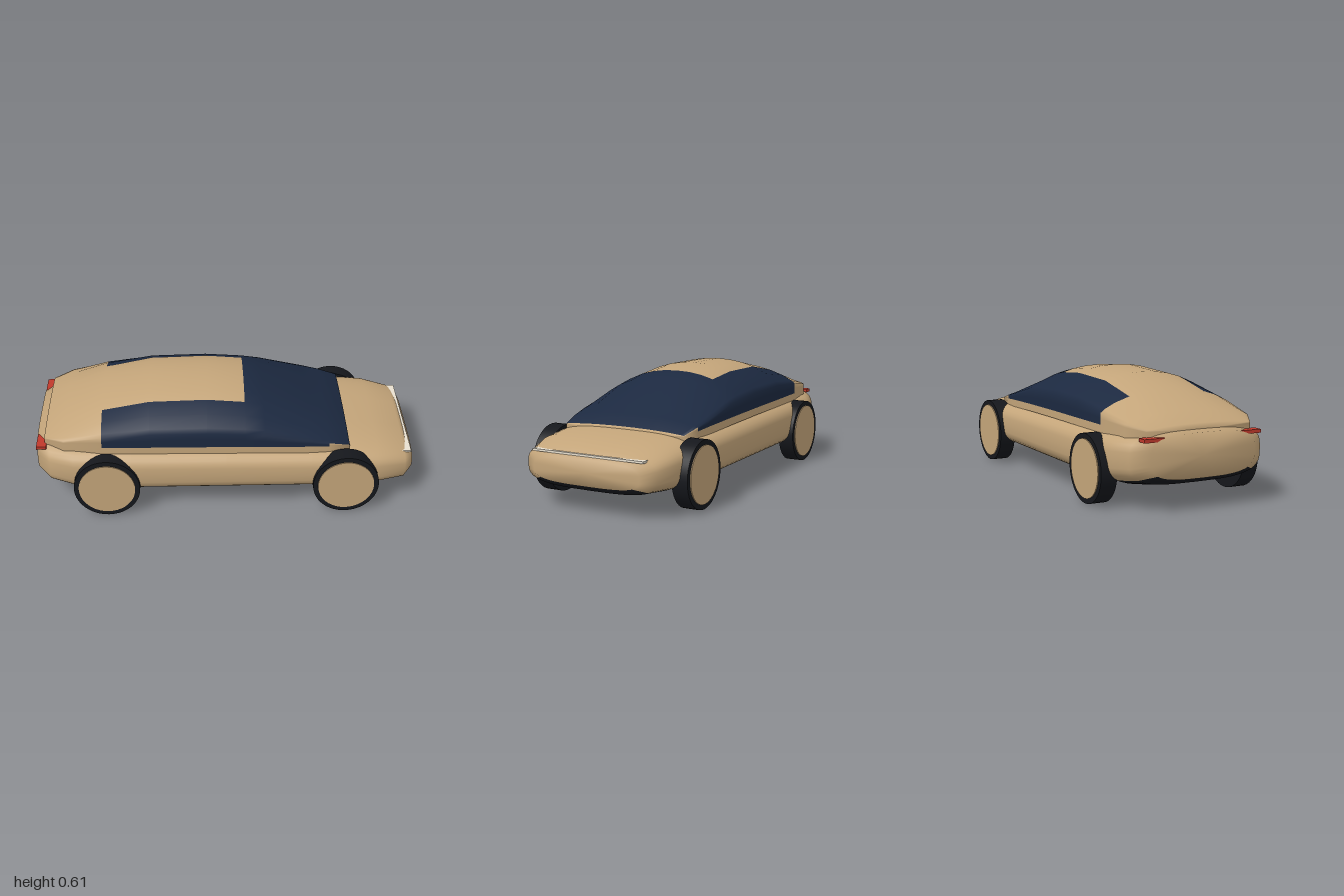
import * as THREE from 'three';

const paint = (color) => new THREE.MeshStandardMaterial({ color, side: THREE.DoubleSide, roughness: 0.7 });
const TAN = paint(0xc4a57a), GLASS = paint(0x1c2940), DARK = paint(0x15171c);
const RED = paint(0xc0392b), LIGHT = paint(0xe8e0d0);

function add(parent, name, geometry, material, x = 0, y = 0, z = 0) {
  const mesh = new THREE.Mesh(geometry, material);
  mesh.name = name;
  mesh.position.set(x, y, z);
  parent.add(mesh);
  return mesh;
}

// Skins rings of [x, y, z] along +x; isSecond(s, j) sorts quads into two meshes sharing smooth normals.
function loft(parent, rings, closed, isSecond, names, materials) {
  const n = rings[0].length, last = rings.length - 1;
  const pos = rings.flat(2), parts = [[], []];
  const at = (s, j) => s * n + (j % n);
  for (let s = 0; s < last; s++) {
    for (let j = 0; j < (closed ? n : n - 1); j++) {
      const a = at(s, j), b = at(s + 1, j), c = at(s + 1, j + 1), d = at(s, j + 1);
      parts[isSecond(s, j) ? 1 : 0].push(a, b, c, a, c, d);
    }
  }
  // End caps
  [0, last].forEach((s) => {
    const ring = rings[s], hub = pos.length / 3;
    const ys = ring.map((p) => p[1]);
    pos.push(ring[0][0], (Math.min(...ys) + Math.max(...ys)) / 2, 0);
    for (let j = 0; j < n; j++) {
      const a = at(s, j), b = at(s, j + 1);
      parts[0].push(hub, ...(s ? [b, a] : [a, b]));
    }
  });
  const whole = new THREE.BufferGeometry();
  whole.setAttribute('position', new THREE.Float32BufferAttribute(pos, 3));
  whole.setIndex(parts.flat());
  whole.computeVertexNormals();
  parts.forEach((index, i) => {
    const g = new THREE.BufferGeometry();
    g.setAttribute('position', whole.attributes.position);
    g.setAttribute('normal', whole.attributes.normal);
    g.setIndex(index);
    add(parent, names[i], g, materials[i]);
  });
}

// Lower body: superellipse sections, with the underside in black
function buildBody(car) {
  const stations = [ // x, bottom, top, half width
    [-1, 0.155, 0.375, 0.29], [-0.93, 0.122, 0.388, 0.37], [-0.8, 0.1, 0.39, 0.412],
    [-0.5, 0.09, 0.387, 0.43], [0, 0.09, 0.38, 0.43], [0.45, 0.09, 0.37, 0.428],
    [0.65, 0.092, 0.362, 0.422], [0.8, 0.095, 0.35, 0.41], [0.95, 0.11, 0.315, 0.37], [1, 0.142, 0.272, 0.3],
  ];
  const N = 48, p = 2 / 3.3;
  const bend = (v) => Math.sign(v) * Math.abs(v) ** p;
  const rings = stations.map(([x, lo, hi, w]) => Array.from({ length: N }, (_, j) => {
    const t = (j / N) * Math.PI * 2;
    return [x, (lo + hi) / 2 + ((hi - lo) / 2) * bend(Math.sin(t)), w * bend(Math.cos(t))];
  }));
  const under = (s, j) => Math.sin(((j + 0.5) / N) * Math.PI * 2) < -0.62;
  loft(car, rings, true, under, ['body', 'underbody'], [TAN, DARK]);
}

// Cabin: arched sections; the centre of the roof and the sill are painted, the rest is glass
function buildCabin(car) {
  const stations = [ // x, base, top, half width
    [-0.955, 0.385, 0.412, 0.29], [-0.85, 0.387, 0.46, 0.347], [-0.65, 0.387, 0.54, 0.372],
    [-0.4, 0.387, 0.6, 0.379], [-0.1, 0.385, 0.61, 0.38], [0.1, 0.382, 0.59, 0.38],
    [0.2, 0.38, 0.567, 0.379], [0.45, 0.372, 0.457, 0.373], [0.54, 0.365, 0.42, 0.365], [0.65, 0.35, 0.375, 0.345],
  ];
  const half = [[1, 0], [1, 0.2], [1, 0.38], [0.95, 0.48], [0.79, 0.67], [0.575, 0.84], [0.4, 0.93], [0.2, 0.985]];
  const arch = [...half, [0, 1], ...half.map(([z, h]) => [-z, h]).reverse()];
  const rings = stations.map(([x, base, top, w]) => [
    [x, base - 0.04, w],
    ...arch.map(([z, h]) => [x, base + (top - base) * h, z * w]),
    [x, base - 0.04, -w],
  ]);
  const n = rings[0].length;
  const glazed = (s, j) => {
    const row = Math.min(j, n - 2 - j); // 0 is the sill, 6 and up is the roof
    const x = stations[s][0];
    if (x < -0.66 || row === 0) return false;
    if (x > 0.53) return row > 2;
    return x > 0.09 || row < 6;
  };
  loft(car, rings, false, glazed, ['roof', 'windows'], [TAN, GLASS]);
}

// Wheels: black tyre with a painted disc standing slightly proud
function buildWheels(car) {
  const tyre = new THREE.CylinderGeometry(0.174, 0.174, 0.086, 40).rotateX(Math.PI / 2);
  const disc = new THREE.CylinderGeometry(0.148, 0.148, 0.01, 40).rotateX(Math.PI / 2);
  for (const x of [-0.63, 0.63]) {
    for (const side of [-1, 1]) {
      const wheel = new THREE.Group();
      wheel.name = x > 0 ? 'frontWheel' : 'rearWheel';
      wheel.position.set(x, 0.174, side * 0.405);
      add(wheel, 'tyre', tyre, DARK);
      add(wheel, 'wheelDisc', disc, TAN, 0, 0, side * 0.043);
      car.add(wheel);
    }
  }
}

export function createModel() {
  const car = new THREE.Group();
  car.name = 'car';
  buildBody(car);
  buildCabin(car);
  buildWheels(car);
  // Lamps
  add(car, 'frontLightBar', new THREE.BoxGeometry(0.06, 0.011, 0.63), LIGHT, 0.956, 0.289, 0);
  for (const side of [-1, 1]) {
    add(car, 'tailLight', new THREE.BoxGeometry(0.052, 0.018, 0.11), RED, -0.972, 0.355, side * 0.27);
  }
  return car;
}
